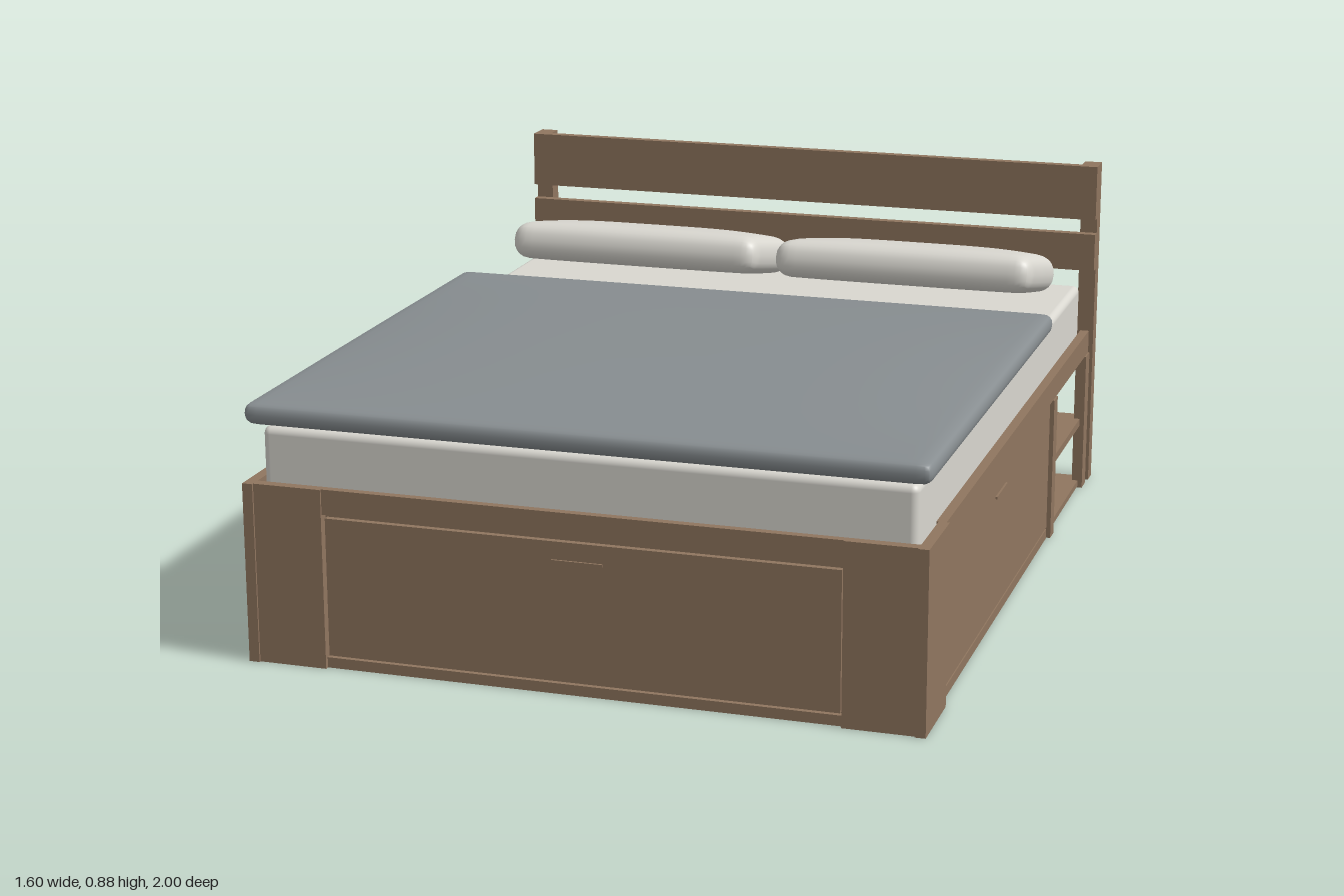
import * as THREE from 'three';
import { mergeVertices } from 'three/addons/utils/BufferGeometryUtils.js';
import { RoundedBoxGeometry } from 'three/addons/geometries/RoundedBoxGeometry.js';

const wood = new THREE.MeshStandardMaterial({ name: 'walnut wood', color: 0x90765f });
const linen = new THREE.MeshStandardMaterial({ name: 'off-white linen', color: 0xd9d7d0 });
const grey = new THREE.MeshStandardMaterial({ name: 'grey blanket', color: 0x878d90 });

// Soft box: rounded edges with radius r, top and bottom swelling toward the middle
function cushionGeometry(w, h, d, r, bulgeTop, bulgeBottom) {
  let g = new THREE.BoxGeometry(2, 2, 2, 28, 8, 28);
  g.deleteAttribute('uv');
  g.deleteAttribute('normal');
  g = mergeVertices(g);
  const half = new THREE.Vector3(w / 2, h / 2, d / 2);
  const inner = half.clone().subScalar(r);
  const p = new THREE.Vector3(), c = new THREE.Vector3();
  const ease = (t) => Math.sign(t) * (1 - (1 - Math.abs(t)) ** 2);
  const pos = g.attributes.position;
  for (let i = 0; i < pos.count; i++) {
    p.fromBufferAttribute(pos, i);
    p.set(ease(p.x), ease(p.y), ease(p.z)).multiply(half);
    c.copy(p).clamp(inner.clone().negate(), inner);
    p.sub(c).setLength(r).add(c);
    const swell = (1 - (p.x / half.x) ** 4) * (1 - (p.z / half.z) ** 2);
    p.y += (p.y > 0 ? bulgeTop : -bulgeBottom) * swell * Math.abs(p.y / half.y);
    pos.setXYZ(i, p.x, p.y, p.z);
  }
  g.computeVertexNormals();
  return g;
}

export function createModel() {
  const bed = new THREE.Group();
  bed.name = 'bed';

  const add = (parent, name, geometry, material, x, y, z) => {
    const m = new THREE.Mesh(geometry, material);
    m.name = name;
    m.position.set(x, y, z);
    parent.add(m);
    return m;
  };
  // Wooden board given by its extents
  const board = (parent, name, x0, x1, y0, y1, z0, z1) =>
    add(parent, name, new THREE.BoxGeometry(Math.abs(x1 - x0), y1 - y0, z1 - z0), wood,
      (x0 + x1) / 2, (y0 + y1) / 2, (z0 + z1) / 2);

  // Headboard slats
  const headboard = new THREE.Group();
  headboard.name = 'headboard';
  bed.add(headboard);
  board(headboard, 'upperSlat', -0.8, 0.8, 0.735, 0.88, -0.955, -0.93);
  board(headboard, 'lowerSlat', -0.8, 0.8, 0.595, 0.695, -0.955, -0.93);

  // Base: floor, foot end and middle back panel
  const base = new THREE.Group();
  base.name = 'base';
  bed.add(base);
  board(base, 'floor', -0.775, 0.775, 0.002, 0.02, -0.45, 0.97);
  board(base, 'centreFloor', -0.45, 0.45, 0.002, 0.02, -0.915, -0.45);
  board(base, 'backPanel', -0.45, 0.45, 0, 0.405, -0.93, -0.912);
  board(base, 'footRail', -0.61, 0.61, 0.37, 0.43, 0.97, 0.99);
  board(base, 'footBottomRail', -0.61, 0.61, 0, 0.025, 0.965, 0.985);
  board(base, 'footBacking', -0.77, 0.77, 0.01, 0.37, 0.955, 0.97);
  board(base, 'footDrawer', -0.605, 0.605, 0.03, 0.36, 0.97, 0.985);
  board(base, 'footDrawerGrip', -0.06, 0.06, 0.312, 0.318, 0.985, 0.99);

  // Mirrored parts of both long sides
  for (const s of [1, -1]) {
    const side = new THREE.Group();
    side.name = s > 0 ? 'leftSide' : 'rightSide';
    bed.add(side);
    const b = (name, x0, x1, ...rest) => board(side, name, s * x0, s * x1, ...rest);

    b('headboardPost', 0.755, 0.8, 0, 0.88, -1, -0.955);

    // Corner boards at the foot
    b('cornerSideBoard', 0.775, 0.8, 0, 0.43, 0.805, 1);
    b('cornerFrontBoard', 0.61, 0.775, 0, 0.43, 0.97, 0.995);

    // Rails and drawer
    b('topRail', 0.77, 0.793, 0.37, 0.43, -0.925, 0.805);
    b('bottomRail', 0.765, 0.787, 0, 0.025, -0.42, 0.805);
    b('sideBacking', 0.755, 0.77, 0.01, 0.37, -0.45, 0.96);
    b('sideDrawer', 0.77, 0.787, 0.03, 0.362, -0.42, 0.803);
    b('sideDrawerGrip', 0.787, 0.792, 0.312, 0.318, 0.13, 0.25);

    // Open bookcase beside the head end
    b('bookcaseFrontStile', 0.77, 0.797, 0, 0.37, -0.47, -0.425);
    b('bookcaseRearStile', 0.77, 0.797, 0, 0.37, -0.925, -0.875);
    b('bookcaseDivider', 0.45, 0.77, 0, 0.37, -0.47, -0.45);
    b('bookcaseInnerWall', 0.435, 0.45, 0, 0.37, -0.915, -0.45);
    b('bookcaseFloor', 0.45, 0.785, 0.004, 0.02, -0.922, -0.47);
    b('bookcaseShelf', 0.45, 0.785, 0.175, 0.195, -0.922, -0.47);

    // Pillow leaning up toward the foot
    const pillow = add(bed, s > 0 ? 'leftPillow' : 'rightPillow',
      cushionGeometry(0.69, 0.095, 0.37, 0.044, 0.016, 0.004), linen, s * 0.367, 0.636, -0.678);
    pillow.rotation.x = -0.22;
  }

  // Mattress and blanket
  add(bed, 'mattress', new RoundedBoxGeometry(1.53, 0.185, 1.88, 4, 0.018), linen, 0, 0.4635, 0.018);
  add(bed, 'blanket', cushionGeometry(1.6, 0.052, 1.36, 0.025, 0.022, 0), grey, 0, 0.59, 0.31);

  return bed;
}
